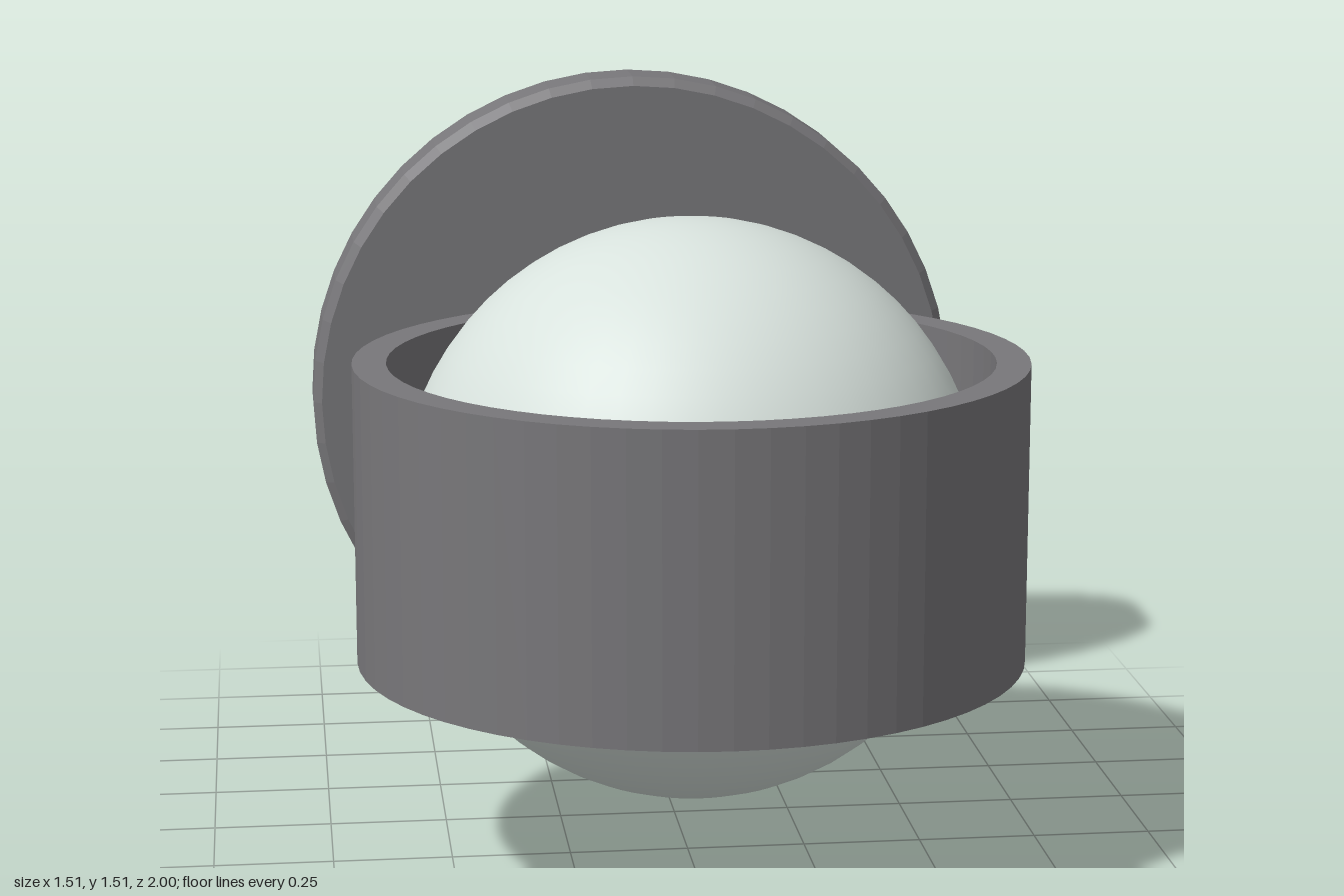
import * as THREE from 'three';

const CY = 0.757; // height of the lamp axis
const CZ = 0.307; // depth of the globe centre

export function createModel() {
  const group = new THREE.Group();
  const metal = new THREE.MeshStandardMaterial({ color: 0x78777a });
  metal.name = 'dark grey metal';
  const glass = new THREE.MeshStandardMaterial({ color: 0xd8e2dd });
  glass.name = 'frosted glass';

  const add = (name, geometry, material, y, z) => {
    const mesh = new THREE.Mesh(geometry, material);
    mesh.name = name;
    mesh.position.set(0, y, z);
    group.add(mesh);
    return mesh;
  };

  // Revolve a profile with hard edges: each segment gets its own smooth band
  const revolve = (points, segments) => {
    const points2 = points.map(([r, y]) => new THREE.Vector2(r, y));
    const geometry = new THREE.LatheGeometry(points2, segments).toNonIndexed();
    geometry.computeVertexNormals();
    return geometry;
  };

  // Wall plate: disc with a small bevel on the front rim
  const plate = revolve([[0, 0], [0.757, 0], [0.757, 0.14], [0.737, 0.16], [0, 0.16]], 48);
  plate.rotateX(Math.PI / 2);
  add('wallPlate', plate, metal, CY, -1);

  // Twelve-sided arm from the plate into the shade ring
  const arm = new THREE.CylinderGeometry(0.179, 0.179, 0.5, 12).toNonIndexed();
  arm.computeVertexNormals();
  arm.rotateX(Math.PI / 2);
  add('arm', arm, metal, CY, -0.6);

  // Shade ring: open band with a thick wall
  const h = 0.313;
  const ring = revolve([[0.623, -h], [0.693, -h], [0.693, h], [0.623, h], [0.623, -h]], 64);
  add('shadeRing', ring, metal, CY + 0.003, CZ);

  // Glass globe floating inside the ring
  add('globe', new THREE.SphereGeometry(0.6, 48, 32), glass, CY + 0.003, CZ);

  return group;
}
